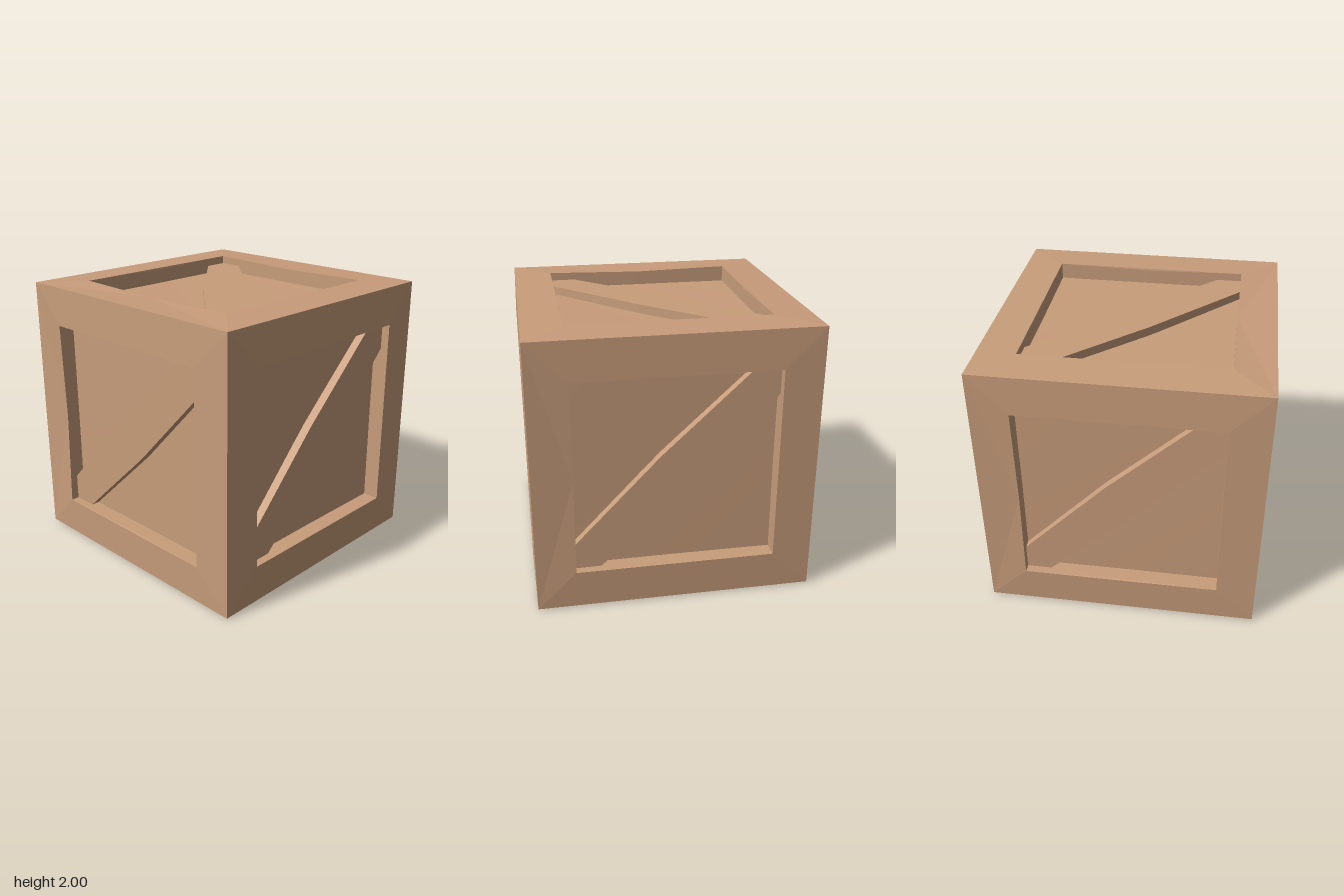
import * as THREE from 'three';

const OUT = 0.99;    // half size of the crate at its edges
const IN = 0.71;     // half size of each opening
const BACK = 0.88;   // distance of the recessed panels from the centre
const PLANK = 0.94;  // distance of the plank faces from the centre

const toPoints = (list) => list.map(([x, y]) => new THREE.Vector2(x, y));

// Mitred square frame for one side, slightly raised at the opening's corners
function frameGeometry() {
  const shape = new THREE.Shape(toPoints([[-OUT, -OUT], [OUT, -OUT], [OUT, OUT], [-OUT, OUT]]));
  const m = IN - 0.003;
  shape.holes.push(new THREE.Path(toPoints([
    [-IN, -IN], [-m, 0], [-IN, IN], [0, m], [IN, IN], [m, 0], [IN, -IN], [0, -m],
  ])));
  const geo = new THREE.ExtrudeGeometry(shape, { depth: 1, bevelEnabled: false });
  const p = geo.attributes.position;
  for (let i = 0; i < p.count; i++) {
    const x = p.getX(i), y = p.getY(i);
    const outer = Math.abs(x) > 0.9;
    const corner = Math.abs(x) > 0.5 && Math.abs(y) > 0.5;
    if (p.getZ(i) < 0.5) {
      const s = outer ? BACK / OUT : 1;
      p.setXYZ(i, x * s, y * s, BACK - 0.01);
    } else {
      p.setZ(i, outer ? OUT : corner ? 1 : 0.985);
    }
  }
  geo.computeVertexNormals();
  return geo;
}

// Recessed panel, slightly hollow in the middle
function panelGeometry() {
  const geo = new THREE.PlaneGeometry(2 * IN, 2 * IN, 2, 2);
  const p = geo.attributes.position;
  for (let i = 0; i < p.count; i++) {
    const middle = Math.abs(p.getX(i)) + Math.abs(p.getY(i)) < 0.01;
    p.setZ(i, middle ? BACK - 0.008 : BACK);
  }
  geo.computeVertexNormals();
  return geo;
}

// Diagonal plank, a little wider at mid length, cut to the opening's corners
function plankGeometry() {
  const half = [[IN, IN], [0.53, IN], [-0.1, 0.12], [-IN, -0.52]];
  const shape = new THREE.Shape(toPoints([...half, ...half.map(([x, y]) => [-x, -y])]));
  const base = BACK - 0.02;
  return new THREE.ExtrudeGeometry(shape, { depth: PLANK - base, bevelEnabled: false })
    .translate(0, 0, base);
}

export function createModel() {
  const crate = new THREE.Group();
  crate.name = 'crate';
  const wood = new THREE.MeshStandardMaterial({ color: 0xc89d7b });
  wood.name = 'light wood';

  const parts = { frame: frameGeometry(), panel: panelGeometry(), diagonalPlank: plankGeometry() };
  const q = Math.PI / 2;
  const sides = {
    front: [0, 0, 0], left: [0, q, 0], back: [0, 2 * q, 0], right: [0, -q, 0],
    top: [-q, 0, q], bottom: [q, 0, q],
  };

  // The same side assembly turned to all six directions
  for (const [name, turn] of Object.entries(sides)) {
    const side = new THREE.Group();
    side.name = `${name}Side`;
    for (const [part, geo] of Object.entries(parts)) {
      const mesh = new THREE.Mesh(geo, wood);
      mesh.name = part;
      side.add(mesh);
    }
    side.rotation.set(...turn);
    side.position.y = 1;
    crate.add(side);
  }
  return crate;
}
